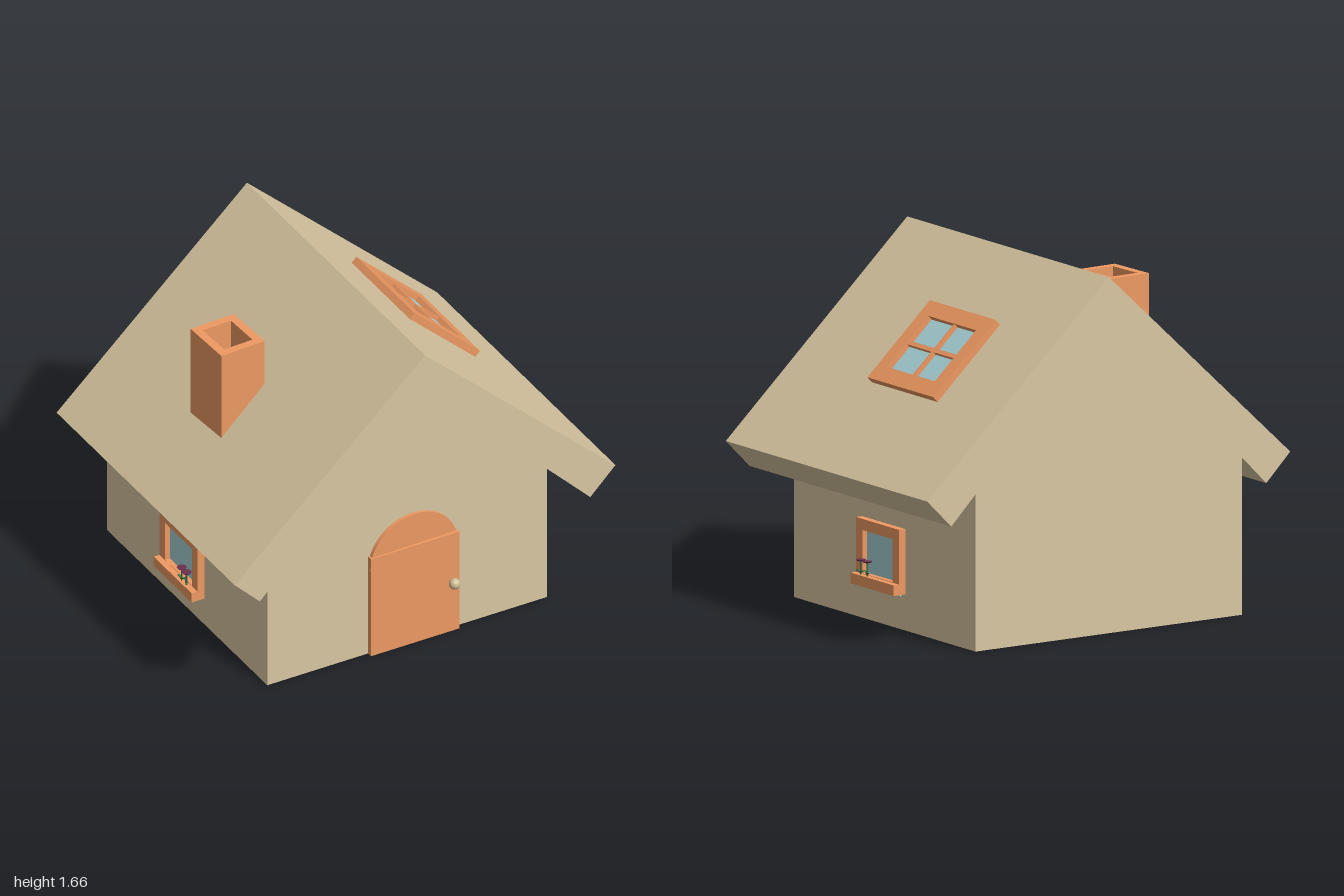
import * as THREE from 'three';

const mat = (color, extra = {}) => new THREE.MeshStandardMaterial({ color, ...extra });
const beige = mat(0xd9c7a2), orange = mat(0xee9962), glass = mat(0xa8d2d8);
const green = mat(0x2f6b45), purple = mat(0x6b2f50), brass = mat(0xcdbb93);

function add(parent, name, geometry, material, x = 0, y = 0, z = 0) {
  const mesh = new THREE.Mesh(geometry, material);
  mesh.name = name;
  mesh.position.set(x, y, z);
  parent.add(mesh);
  return mesh;
}

const box = (parent, name, material, w, h, d, x, y, z) =>
  add(parent, name, new THREE.BoxGeometry(w, h, d), material, x, y, z);

// Polygon in x/y pushed along z from z0 to z1
function prism(points, z0, z1) {
  const shape = new THREE.Shape(points.map(([x, y]) => new THREE.Vector2(x, y)));
  return new THREE.ExtrudeGeometry(shape, { depth: z1 - z0, bevelEnabled: false }).translate(0, 0, z0);
}

// Rectangular ring in x/y with a rectangular opening, pushed along z
function ring(w, h, border, depth, borderY = border) {
  const rect = (Type, a, b) => new Type([[-a, -b], [a, -b], [a, b], [-a, b]].map(([x, y]) => new THREE.Vector2(x, y)));
  const shape = rect(THREE.Shape, w / 2, h / 2);
  shape.holes.push(rect(THREE.Path, w / 2 - border, h / 2 - borderY));
  return new THREE.ExtrudeGeometry(shape, { depth, bevelEnabled: false });
}

// Small flower: stem, two drooping leaves and a flat bloom
function flower(parent, x, y, z, turn) {
  const g = new THREE.Group();
  g.name = 'flower';
  g.position.set(x, y, z);
  g.rotation.y = turn;
  add(g, 'stem', new THREE.CylinderGeometry(0.004, 0.004, 0.065, 6), green, 0, 0.0325, 0);
  for (const s of [-1, 1]) {
    const leaf = box(g, 'leaf', green, 0.024, 0.004, 0.01, s * 0.011, 0.015, 0);
    leaf.rotation.z = s * 0.5;
  }
  add(g, 'bloom', new THREE.CylinderGeometry(0.024, 0.018, 0.006, 8), purple, 0, 0.067, 0);
  parent.add(g);
}

// Side window built facing +z, standing on its sill
function sideWindow(name) {
  const g = new THREE.Group();
  g.name = name;
  add(g, 'frame', ring(0.35, 0.305, 0.052, 0.035), orange, 0, 0.1525, 0);
  box(g, 'pane', glass, 0.29, 0.27, 0.014, 0, 0.122, 0.003);
  box(g, 'sill', orange, 0.35, 0.05, 0.066, 0, 0.025, 0.033);
  return g;
}

export function createModel() {
  const house = new THREE.Group();
  house.name = 'house';

  // Walls with gable, and roof overhanging the front only
  add(house, 'walls', prism([[-0.735, 0], [0.735, 0], [0.735, 0.735], [0, 1.475], [-0.735, 0.735]], -0.82, 0.655), beige);
  add(house, 'roof', prism([[0, 1.66], [-1, 0.73], [-0.868, 0.598], [0, 1.475], [0.868, 0.598], [1, 0.73]], -0.82, 0.82), beige);

  // Door with arched top and knob
  box(house, 'door', orange, 0.465, 0.53, 0.034, 0.0275, 0.265, 0.665);
  const arch = add(house, 'doorArch',
    new THREE.CylinderGeometry(0.234, 0.234, 0.04, 40, 1, false, Math.PI / 2, Math.PI).rotateX(Math.PI / 2),
    orange, 0.028, 0.461, 0.65);
  arch.rotation.y = 0.02;
  add(house, 'doorKnob', new THREE.SphereGeometry(0.027, 20, 14), brass, 0.225, 0.265, 0.698);

  // Side windows with flowers on the sills
  const left = sideWindow('leftWindow');
  left.rotation.y = Math.PI / 2;
  left.position.set(0.735, 0.168, -0.075);
  flower(left, -0.115, 0.05, 0.05, 0.3);
  flower(left, -0.062, 0.05, 0.05, -0.3);
  const right = sideWindow('rightWindow');
  right.rotation.y = -Math.PI / 2;
  right.position.set(-0.735, 0.14, -0.1);
  flower(right, 0.055, 0.05, 0.05, 0.3);
  flower(right, 0.1, 0.05, 0.05, -0.3);
  house.add(left, right);

  // Skylight lying on the left roof slope
  const skylight = new THREE.Group();
  skylight.name = 'skylight';
  skylight.position.set(0.46, 1.232, -0.0925);
  skylight.rotation.z = -Math.atan(0.93);
  add(skylight, 'skylightFrame', ring(0.47, 0.535, 0.08, 0.045, 0.074).rotateX(-Math.PI / 2), orange, 0, -0.01, 0);
  box(skylight, 'skylightPane', glass, 0.33, 0.012, 0.4, 0, 0.003, 0);
  box(skylight, 'glazingBar', orange, 0.32, 0.03, 0.018, 0, 0.012, -0.01);
  box(skylight, 'glazingBar', orange, 0.022, 0.03, 0.4, 0, 0.012, 0);
  house.add(skylight);

  // Hollow chimney on the right slope
  const chimney = add(house, 'chimney', ring(0.232, 0.264, 0.04, 0.53).rotateX(-Math.PI / 2), orange, -0.565, 0.95, -0.008);
  chimney.rotation.y = 0.04;

  return house;
}
